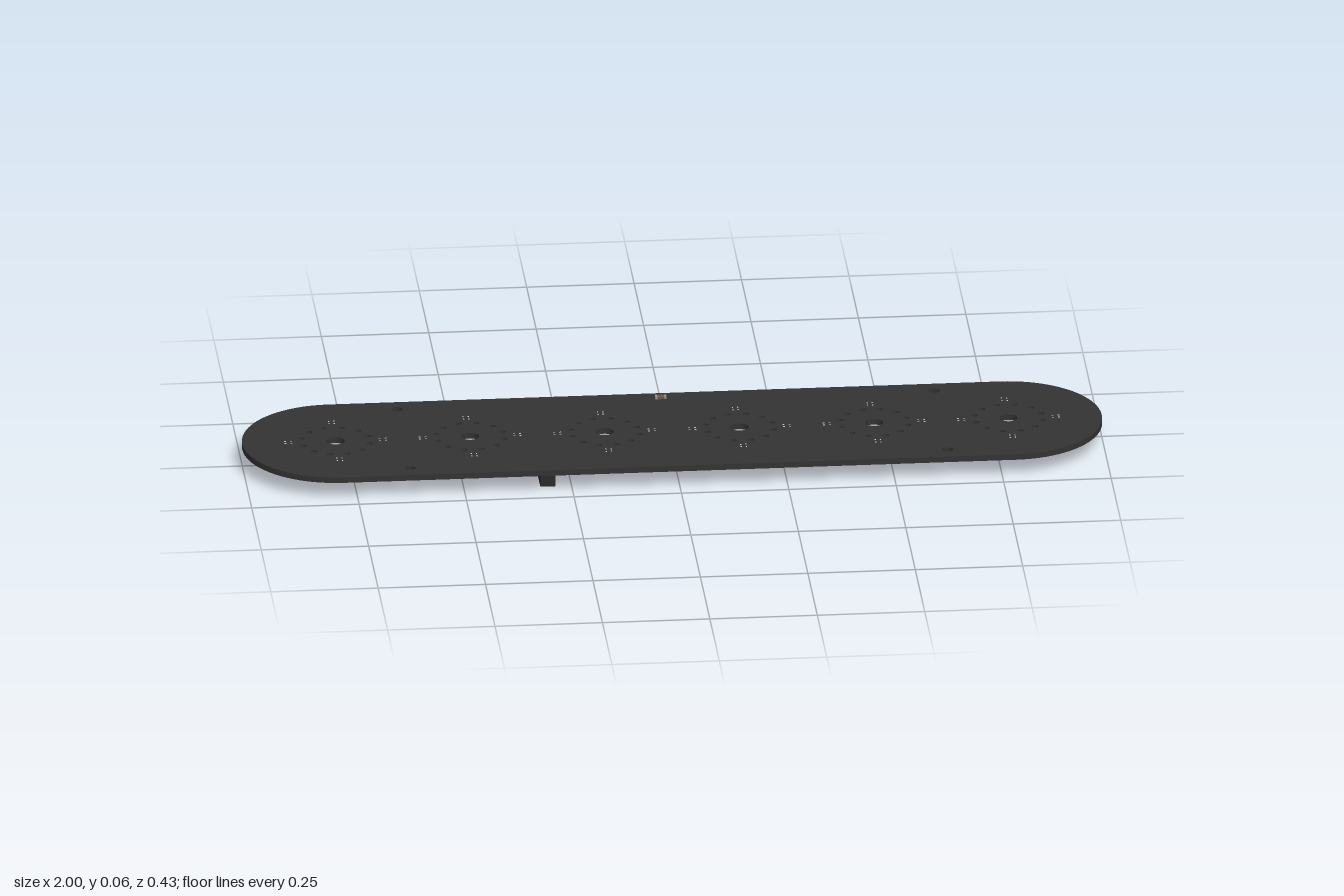
import * as THREE from 'three';

const mat = (color) => new THREE.MeshStandardMaterial({ color });

export function createModel() {
  const root = new THREE.Group();
  const black = mat(0x2b2b2b), metal = mat(0x9a9484), white = mat(0xcccccc);
  const TOP = 0.055, BOTTOM = 0.041, R = 0.217, END = 1 - R;
  const centres = [-0.783, -0.47, -0.157, 0.157, 0.47, 0.783];
  const HOLES = 12, RING = 0.08;

  const box = (parent, name, material, w, h, d, x, y, z, turn = 0) => {
    const m = new THREE.Mesh(new THREE.BoxGeometry(w, h, d), material);
    m.name = name;
    m.position.set(x, y, z);
    m.rotation.y = turn;
    parent.add(m);
    return m;
  };
  const under = (parent, name, w, h, d, x, z, turn = 0) =>
    box(parent, name, black, w, h, d, x, BOTTOM - h / 2, z, turn);

  // Board with rounded ends and drilled holes
  const outline = new THREE.Shape();
  outline.moveTo(-END, -R);
  outline.lineTo(END, -R);
  outline.absarc(END, 0, R, -Math.PI / 2, Math.PI / 2, false);
  outline.lineTo(-END, R);
  outline.absarc(-END, 0, R, Math.PI / 2, Math.PI * 1.5, false);
  const drill = (x, z, r) => {
    const hole = new THREE.Path();
    hole.absarc(x, -z, r, 0, Math.PI * 2, true);
    outline.holes.push(hole);
  };
  const ringAngle = (i) => ((i + 0.5) / HOLES) * Math.PI * 2;
  for (const cx of centres) {
    drill(cx, 0, 0.021);
    for (let i = 0; i < HOLES; i++) {
      drill(cx + RING * Math.cos(ringAngle(i)), RING * Math.sin(ringAngle(i)), 0.0075);
    }
  }
  for (const x of [-0.625, 0.625]) for (const z of [-0.175, 0.175]) drill(x, z, 0.013);
  const boardGeo = new THREE.ExtrudeGeometry(outline, {
    depth: TOP - BOTTOM, bevelEnabled: false, curveSegments: 20,
  });
  boardGeo.rotateX(-Math.PI / 2);
  const board = new THREE.Mesh(boardGeo, mat(0x333333));
  board.name = 'board';
  board.position.y = BOTTOM;
  root.add(board);

  // Component cluster around each centre hole
  for (const cx of centres) {
    const cluster = new THREE.Group();
    cluster.name = 'ringCluster';
    cluster.position.x = cx;
    for (let i = 0; i < HOLES; i++) {
      const a = (i / HOLES) * Math.PI * 2;
      under(cluster, 'ringChip', 0.014, 0.009, 0.02, 0.064 * Math.cos(a), 0.064 * Math.sin(a), -a);
    }
    for (let k = 0; k < 4; k++) {
      const a = (k * Math.PI) / 2;
      const side = new THREE.Group();
      side.name = 'sideComponent';
      side.rotation.y = a;
      under(side, 'sideChip', 0.022, 0.009, 0.014, 0.11, 0);
      // Four tiny solder points on the top face
      for (const px of [-0.007, 0.007]) for (const pz of [-0.006, 0.006]) {
        box(side, 'solderPoint', white, 0.005, 0.0006, 0.003, 0.11 + px, TOP + 0.0002, pz);
      }
      cluster.add(side);
    }
    root.add(cluster);
  }

  // Integrated circuits with rows of legs on the underside
  for (const [x, z] of [[0.32, 0.15], [0.02, 0.148], [0, -0.121], [-0.3, -0.121]]) {
    const chip = new THREE.Group();
    chip.name = 'integratedCircuit';
    chip.position.set(x, 0, z);
    under(chip, 'chipBody', 0.034, 0.01, 0.085, 0, 0);
    for (const s of [-1, 1]) for (let i = 0; i < 8; i++) {
      box(chip, 'chipLeg', metal, 0.01, 0.003, 0.004, s * 0.021, BOTTOM - 0.0015, (i - 3.5) * 0.0105);
    }
    root.add(chip);
  }

  // Two tall connectors, on which the board rests
  under(root, 'frontConnector', 0.035, BOTTOM, 0.087, -0.305, 0.14);
  under(root, 'rearConnector', 0.087, BOTTOM, 0.035, 0.312, -0.1305);

  // Small part on the top face by the rear edge
  const sensor = new THREE.Group();
  sensor.name = 'topComponent';
  sensor.position.set(-0.01, TOP, -0.187);
  box(sensor, 'topBody', mat(0x6b5a48), 0.016, 0.006, 0.013, 0, 0.003, 0);
  for (const s of [-1, 1]) box(sensor, 'topTerminal', metal, 0.005, 0.0066, 0.013, s * 0.0105, 0.0033, 0);
  root.add(sensor);

  return root;
}
